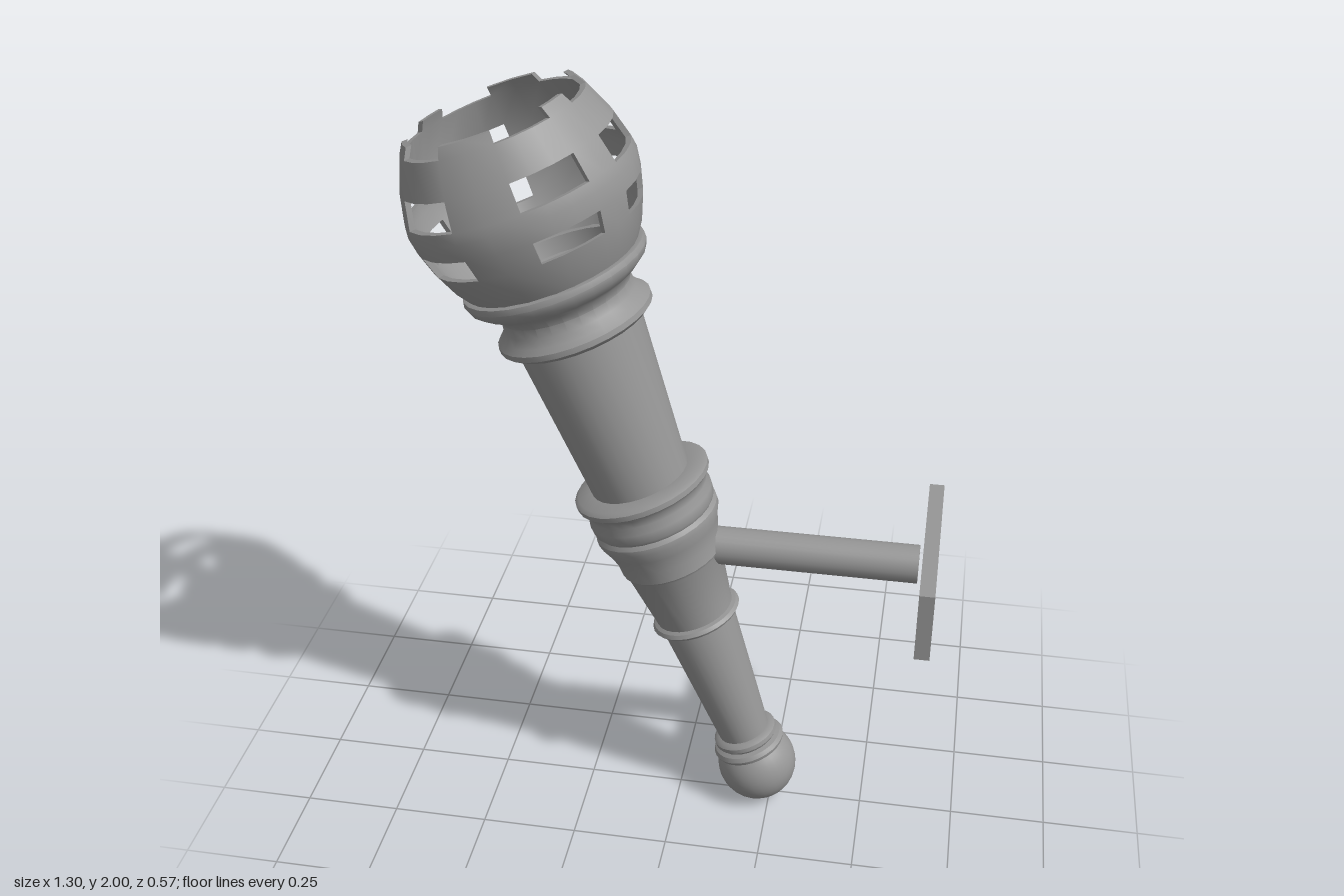
import * as THREE from 'three';
import { toCreasedNormals } from 'three/addons/utils/BufferGeometryUtils.js';

const material = new THREE.MeshStandardMaterial({ color: 0x969696 });
const openMaterial = new THREE.MeshStandardMaterial({ color: 0x969696, side: THREE.DoubleSide });

function add(parent, name, geometry, mat = material) {
  const mesh = new THREE.Mesh(geometry, mat);
  mesh.name = name;
  parent.add(mesh);
  return mesh;
}

// Turned part from [radius, height] pairs
function turned(points, segments = 28) {
  const profile = points.map(([r, y]) => new THREE.Vector2(r, y));
  return toCreasedNormals(new THREE.LatheGeometry(profile, segments), 0.6);
}

// Thick round basket: six columns of windows in two rows, and notches in the rim
function basketGeometry() {
  const rows = [[0.208, 1.53], [0.24, 1.58], [0.263, 1.636], [0.278, 1.692], [0.284, 1.735],
    [0.28, 1.762], [0.262, 1.83], [0.226, 1.912], [0.21, 1.937]];
  const openRows = [2, 5, 7];
  const thickness = 0.014;
  // Each window spans four angles, followed by the middle of the post beside it
  const centres = [0, 55, 125, 180, 235, 305, 360];
  const angles = centres.slice(0, 6).flatMap((c, k) =>
    [c - 17.7, c - 6, c + 6, c + 17.7, (c + centres[k + 1]) / 2]).map(THREE.MathUtils.degToRad);
  const count = angles.length;
  const solid = (i, j) => j >= 0 && j < rows.length - 1
    && !(openRows.includes(j) && ((i + count) % 5) < 3);
  const P = (i, j, inner) => {
    const r = rows[j][0] - inner * thickness;
    const a = angles[i % count];
    return [r * Math.cos(a), rows[j][1], r * Math.sin(a)];
  };
  const positions = [];
  const quad = (a, b, c, d) => positions.push(...a, ...b, ...c, ...a, ...c, ...d);

  for (let i = 0; i < count; i++) {
    for (let j = 0; j < rows.length - 1; j++) {
      if (!solid(i, j)) continue;
      const n = i + 1, u = j + 1;
      quad(P(i, j, 0), P(i, u, 0), P(n, u, 0), P(n, j, 0));
      quad(P(i, j, 1), P(n, j, 1), P(n, u, 1), P(i, u, 1));
      // Cut edges of the wall
      if (!solid(i, u)) quad(P(i, u, 1), P(n, u, 1), P(n, u, 0), P(i, u, 0));
      if (!solid(i, j - 1)) quad(P(i, j, 1), P(i, j, 0), P(n, j, 0), P(n, j, 1));
      if (!solid(n, j)) quad(P(n, j, 1), P(n, j, 0), P(n, u, 0), P(n, u, 1));
      if (!solid(i - 1, j)) quad(P(i, j, 1), P(i, u, 1), P(i, u, 0), P(i, j, 0));
    }
  }
  const geometry = new THREE.BufferGeometry();
  geometry.setAttribute('position', new THREE.Float32BufferAttribute(positions, 3));
  return toCreasedNormals(geometry, 0.6);
}

export function createModel() {
  const model = new THREE.Group();
  model.name = 'wallTorch';

  // Leaning torch, built upright around the centre of its end ball
  const torch = new THREE.Group();
  torch.name = 'torch';
  torch.position.set(0.212, 0.106, 0);
  torch.rotation.z = THREE.MathUtils.degToRad(19.7);
  model.add(torch);

  add(torch, 'endBall', new THREE.SphereGeometry(0.106, 32, 20));

  add(torch, 'endCollar', turned([
    [0.08, 0.055], [0.094, 0.062], [0.098, 0.072], [0.092, 0.083], [0.08, 0.088],
    [0.086, 0.096], [0.086, 0.108], [0.077, 0.115], [0.066, 0.117],
  ]));

  add(torch, 'handle', turned([[0.068, 0.105], [0.1, 0.51]]));

  add(torch, 'middleCollar', turned([
    [0.09, 0.498], [0.113, 0.503], [0.119, 0.511], [0.113, 0.52], [0.103, 0.524],
    [0.128, 0.69], [0.136, 0.7], [0.138, 0.735], [0.15, 0.775], [0.163, 0.805],
    [0.163, 0.82], [0.155, 0.83], [0.162, 0.84], [0.164, 0.865], [0.158, 0.885],
    [0.163, 0.905], [0.176, 0.918], [0.177, 0.932], [0.166, 0.94], [0.126, 0.942],
  ]));

  // Hollow shaft with its upper collar and the basket seat
  add(torch, 'shaft', turned([
    [0.126, 0.93], [0.159, 1.37], [0.18, 1.374], [0.195, 1.386], [0.195, 1.4],
    [0.182, 1.412], [0.168, 1.43], [0.165, 1.455], [0.175, 1.475], [0.2, 1.49],
    [0.224, 1.51], [0.231, 1.528], [0.228, 1.542], [0.212, 1.546], [0.192, 1.54],
    [0.185, 1.5], [0.165, 1.488], [0.158, 1.45], [0.146, 1.44], [0.145, 1.37],
    [0.11, 0.96], [0, 0.96],
  ]));

  add(torch, 'basket', basketGeometry());

  // Rod reaching to the wall
  const rod = add(model, 'bracketRod', new THREE.CylinderGeometry(0.049, 0.049, 0.605, 24));
  rod.rotation.z = Math.PI / 2;
  rod.position.set(0.3025, 0.802, -0.006);

  // Wall plate, a shallow tray open on its outer side
  const plate = new THREE.BoxGeometry(0.038, 0.187, 0.506);
  plate.setIndex(Array.from(plate.index.array).slice(6));
  plate.clearGroups();
  add(model, 'wallPlate', plate, openMaterial).position.set(0.633, 0.797, 0.003);

  return model;
}
